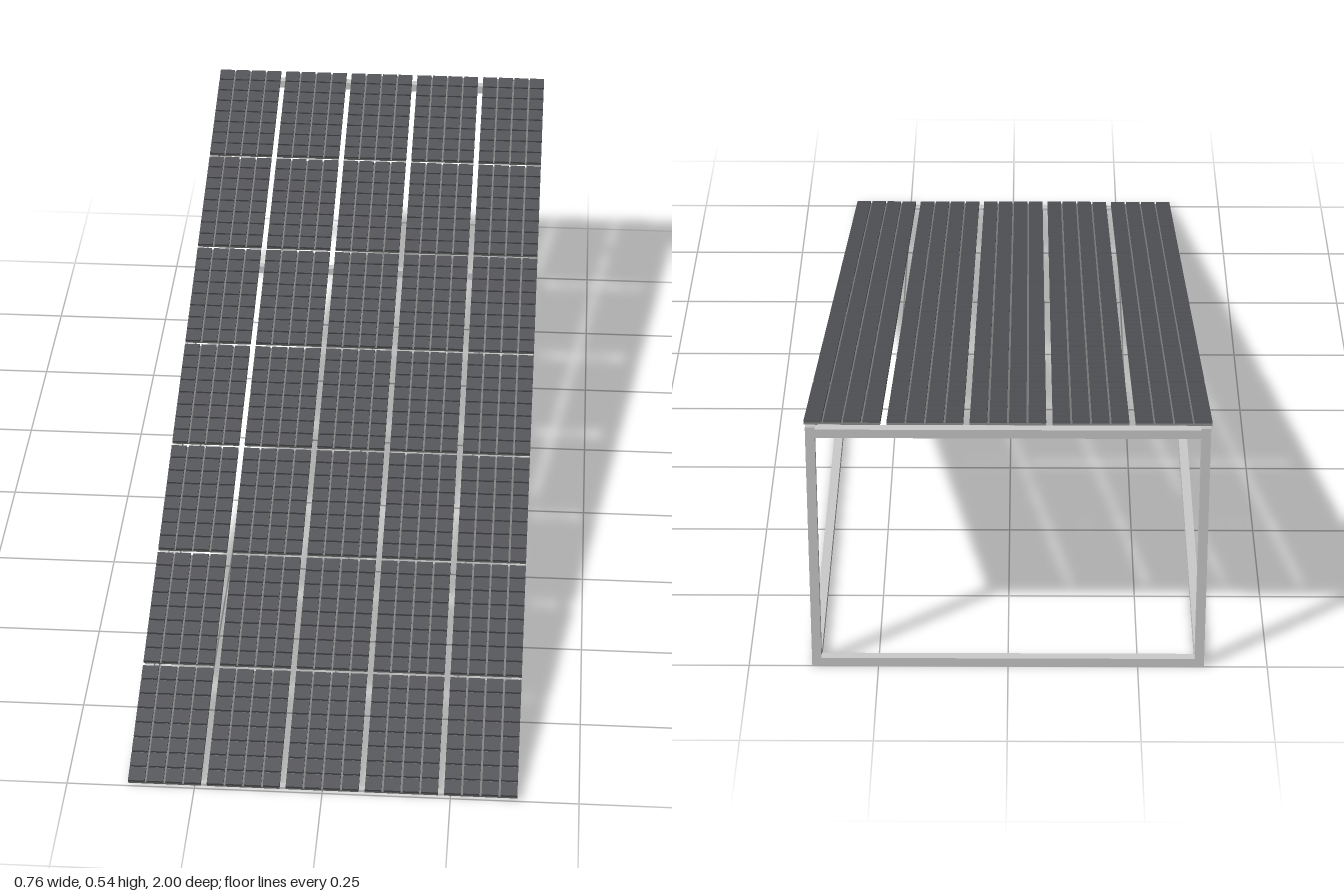
import * as THREE from 'three';
import { mergeGeometries } from 'three/addons/utils/BufferGeometryUtils.js';

const COLS = 5, ROWS = 7, CELLS_X = 4, CELLS_Z = 8;
const HALF_W = 0.38, TOP_Y = 0.538, BEAM = 0.018;
const SLOPE = Math.atan2(TOP_Y - 0.006, 2);
const LENGTH = 1.995 / Math.cos(SLOPE);
const GAP = 0.012, CELL_GAP = 0.004;

export function createModel() {
  const model = new THREE.Group();
  model.name = 'solarArray';
  const grey = new THREE.MeshStandardMaterial({ color: 0xcccccc });
  const backing = new THREE.MeshStandardMaterial({ color: 0x7d807d });
  const dark = new THREE.MeshStandardMaterial({ color: 0x535458 });

  const add = (parent, name, geo, mat, x = 0, y = 0, z = 0) => {
    const mesh = new THREE.Mesh(geo, mat);
    mesh.name = name;
    mesh.position.set(x, y, z);
    parent.add(mesh);
    return mesh;
  };

  // Triangular side frames: sloped rail, base rail and back leg in one outline
  const frameTop = TOP_Y - 0.008;
  const tan = frameTop / 1.99;
  const drop = BEAM / Math.cos(SLOPE);
  const side = new THREE.Shape();
  side.moveTo(-0.99, 0);
  side.lineTo(1, 0);
  side.lineTo(1, frameTop);
  side.closePath();
  const hole = new THREE.Path();
  const innerX = 1 - BEAM;
  hole.moveTo((BEAM + drop) / tan - 0.99, BEAM);
  hole.lineTo(innerX, (innerX + 0.99) * tan - drop);
  hole.lineTo(innerX, BEAM);
  hole.closePath();
  side.holes.push(hole);
  const sideGeo = new THREE.ExtrudeGeometry(side, { depth: BEAM, bevelEnabled: false });
  sideGeo.translate(0, 0, -BEAM / 2);
  sideGeo.rotateY(Math.PI / 2); // outline runs from the front to the back
  for (const s of [-1, 1]) {
    add(model, s > 0 ? 'leftSideFrame' : 'rightSideFrame', sideGeo, grey, s * (HALF_W - BEAM / 2 - 0.002));
  }

  // Cross beams
  const width = 2 * HALF_W - 0.006;
  const beam = new THREE.BoxGeometry(width, BEAM, BEAM);
  add(model, 'backBaseBeam', beam, grey, 0, BEAM / 2, -1 + BEAM / 2);
  add(model, 'backTopBeam', beam, grey, 0, frameTop - BEAM / 2 - 0.004, -1 + BEAM / 2);
  add(model, 'frontEdgeBeam', new THREE.BoxGeometry(width, 0.005, 0.012), grey, 0, 0.0025, 0.985);

  // Sloped deck, its local plane being the middle of the panels
  const deck = new THREE.Group();
  deck.name = 'panelDeck';
  deck.position.y = (TOP_Y + 0.006) / 2;
  deck.rotation.x = SLOPE;
  model.add(deck);

  const pitchX = (2 * HALF_W + GAP) / COLS, pitchZ = (LENGTH + GAP) / ROWS;
  const panelW = pitchX - GAP, panelL = pitchZ - GAP;
  const panelGeo = new THREE.BoxGeometry(panelW, 0.004, panelL);

  // One panel's grid of raised cells
  const cellX = (panelW + CELL_GAP) / CELLS_X, cellZ = (panelL + CELL_GAP) / CELLS_Z;
  const cells = [];
  for (let i = 0; i < CELLS_X; i++) {
    for (let j = 0; j < CELLS_Z; j++) {
      const cell = new THREE.BoxGeometry(cellX - CELL_GAP, 0.005, cellZ - CELL_GAP);
      cell.translate((i - (CELLS_X - 1) / 2) * cellX, 0.0045, (j - (CELLS_Z - 1) / 2) * cellZ);
      cells.push(cell);
    }
  }
  const cellGeo = mergeGeometries(cells);

  for (let c = 0; c < COLS; c++) {
    for (let r = 0; r < ROWS; r++) {
      const panel = new THREE.Group();
      panel.name = `panel_${c + 1}_${r + 1}`;
      panel.position.set((c - (COLS - 1) / 2) * pitchX, 0, (r - (ROWS - 1) / 2) * pitchZ);
      add(panel, 'panelBacking', panelGeo, backing);
      add(panel, 'panelCells', cellGeo, dark);
      deck.add(panel);
    }
  }
  return model;
}
